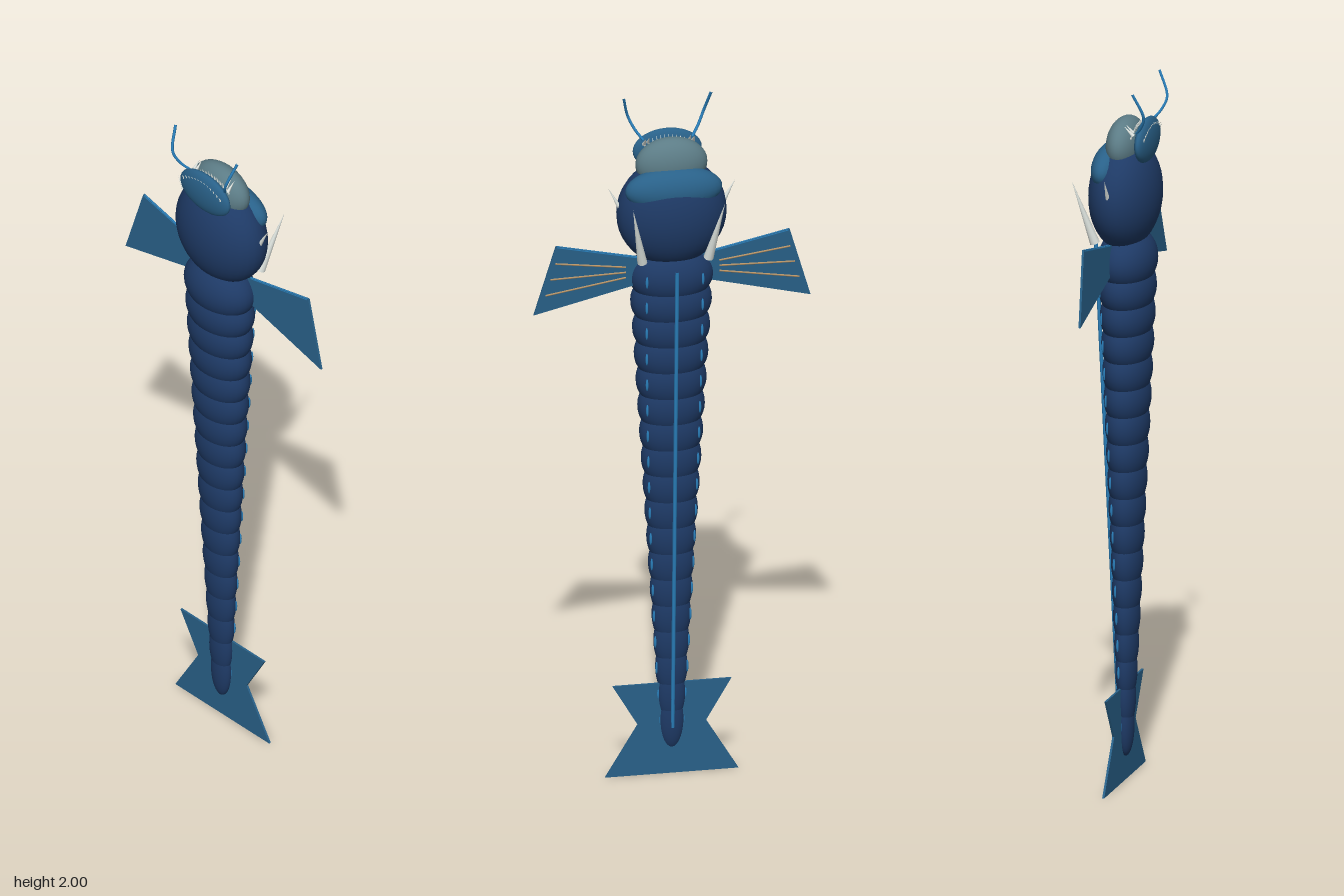
import * as THREE from 'three';

const mat = (name, color, side = THREE.FrontSide) => {
  const m = new THREE.MeshStandardMaterial({ color, side });
  m.name = name;
  return m;
};
const V = (x, y, z) => new THREE.Vector3(x, y, z);

export function createModel() {
  const root = new THREE.Group();
  root.name = 'seaSerpent';
  const navy = mat('navy scales', 0x1e3a66);
  const finBlue = mat('fin blue', 0x296189, THREE.DoubleSide);
  const brightBlue = mat('bright blue', 0x2a80bc);
  const grey = mat('snout grey', 0x5c7c86);
  const ivory = mat('ivory', 0xdfe5e0);
  const tan = mat('fin ray tan', 0xb8966a);

  const add = (name, geometry, material) => {
    const m = new THREE.Mesh(geometry, material);
    m.name = name;
    root.add(m);
    return m;
  };
  const ellipsoid = (name, material, c, r, w = 32, h = 20) => {
    const m = add(name, new THREE.SphereGeometry(1, w, h), material);
    m.position.set(...c);
    m.scale.set(...r);
    return m;
  };
  // Cone running from a base point to a tip point
  const spike = (name, material, a, b, r, sides = 10) => {
    const d = b.clone().sub(a);
    const m = add(name, new THREE.ConeGeometry(r, d.length(), sides), material);
    m.position.copy(a).add(b).multiplyScalar(0.5);
    m.quaternion.setFromUnitVectors(V(0, 1, 0), d.normalize());
    return m;
  };
  const tube = (name, material, pts, r, n = 20) =>
    add(name, new THREE.TubeGeometry(new THREE.CatmullRomCurve3(pts), n, r, 6), material);
  const plate = (name, material, pts, depth) => {
    const shape = new THREE.Shape(pts.map(p => new THREE.Vector2(...p)));
    const g = new THREE.ExtrudeGeometry(shape, { depth, bevelEnabled: false });
    g.translate(0, 0, -depth / 2);
    return add(name, g, material);
  };

  // Body: overlapping flattened segments, tapering to the tail
  const bodyAt = y => {
    const t = (1.49 - y) / 1.33;
    return {
      rx: THREE.MathUtils.lerp(0.118, 0.035, t),
      rz: THREE.MathUtils.lerp(0.079, 0.022, t),
      z: 0.015 - 0.005 * t * t,
    };
  };
  const cordZ = y => THREE.MathUtils.lerp(-0.008, -0.076, (y - 0.12) / 1.4);
  const COUNT = 18;
  for (let i = 0; i < COUNT; i++) {
    const y = 1.49 - (i * 1.33) / (COUNT - 1);
    const b = bodyAt(y);
    ellipsoid('bodySegment', navy, [0, y, b.z], [b.rx, 0.09, b.rz]);
    // Short spine joining each segment to the dorsal cord
    const back = b.z - b.rz;
    spike('dorsalSpine', finBlue, V(0, y, back + 0.008), V(0, y, Math.min(back, cordZ(y)) - 0.004), 0.012, 6).scale.x = 0.5;
    // Pale dashes on both sides of the back
    const a = 0.85 - 0.035 * i;
    for (const s of [1, -1]) {
      ellipsoid('backDash', brightBlue,
        [s * b.rx * Math.cos(a), y, b.z - b.rz * Math.sin(a)], [0.004, 0.018, 0.004], 8, 6);
    }
  }
  // Cord running down the back
  tube('dorsalCord', brightBlue, [1.53, 1.2, 0.8, 0.45, 0.14].map(y => V(0, y, cordZ(y))), 0.0055, 40);

  // Head, brow plate, snout and lower jaw
  ellipsoid('head', navy, [0, 1.677, 0.009], [0.153, 0.156, 0.096]);
  ellipsoid('browPlate', finBlue, [0, 1.757, -0.025], [0.135, 0.064, 0.05]);
  ellipsoid('snout', grey, [0, 1.82, 0.01], [0.1, 0.075, 0.049]);
  ellipsoid('jaw', finBlue, [0, 1.835, 0.071], [0.096, 0.062, 0.022]);

  // Two rows of small teeth
  for (let i = 0; i < 13; i++) {
    const u = (i - 6) / 6;
    const y = 1.872 - 0.02 * u * u;
    spike('upperTooth', ivory, V(u * 0.066, y, 0.045), V(u * 0.066, y + 0.018, 0.05), 0.003, 5);
    spike('lowerTooth', ivory, V(u * 0.072, y - 0.002, 0.083), V(u * 0.072, y + 0.013, 0.09), 0.003, 5);
  }

  // Mirrored parts
  for (const s of [1, -1]) {
    spike('fang', ivory, V(s * 0.068, 1.862, 0.053), V(s * 0.068, 1.888, 0.026), 0.006, 6);
    spike('fang', ivory, V(s * 0.058, 1.868, 0.05), V(s * 0.058, 1.89, 0.028), 0.005, 6);
    spike('backHorn', ivory, V(s * 0.092, 1.555, -0.05), V(s * 0.128, 1.738, -0.105), 0.014);
    spike('sideHorn', ivory, V(s * 0.142, 1.695, 0.004), V(s * 0.177, 1.76, 0.004), 0.007);
    tube('whisker', brightBlue, [
      V(s * 0.068, 1.87, 0.062), V(s * 0.088, 1.895, 0.082),
      V(s * 0.105, 1.93, 0.094), V(s * 0.122, 1.998, 0.067),
    ], 0.004);

    // Pectoral fin, its upper edge leaning back
    const fin = plate('pectoralFin', finBlue, [
      [s * 0.08, 1.55], [s * 0.325, 1.605], [s * 0.385, 1.4], [s * 0.08, 1.475],
    ], 0.006);
    const p = fin.geometry.attributes.position;
    const lean = y => -0.004 - (y - 1.5) * 0.045;
    for (let i = 0; i < p.count; i++) p.setZ(i, p.getZ(i) + lean(p.getY(i)));
    fin.geometry.computeVertexNormals();
    // Rays on the back of the fin
    for (let i = 0; i < 3; i++) {
      const u = (i + 0.9) / 3.8;
      const ya = 1.54 - u * 0.06, yb = 1.595 - u * 0.18, xb = 0.315 + u * 0.05;
      tube('finRay', tan, [
        V(s * 0.13, ya, lean(ya) - 0.003), V(s * xb, yb, lean(yb) - 0.003),
      ], 0.0028, 4);
    }
    tube('finLeadingEdge', brightBlue, [
      V(s * 0.1, 1.552, lean(1.552)), V(s * 0.322, 1.601, lean(1.601)),
    ], 0.004, 4);
  }

  // Tail fluke
  const tail = plate('tailFin', finBlue, [
    [-0.165, 0.27], [-0.095, 0.15], [-0.185, 0], [0.185, 0], [0.095, 0.15], [0.165, 0.27],
  ], 0.006);
  tail.position.z = 0.004;
  return root;
}
